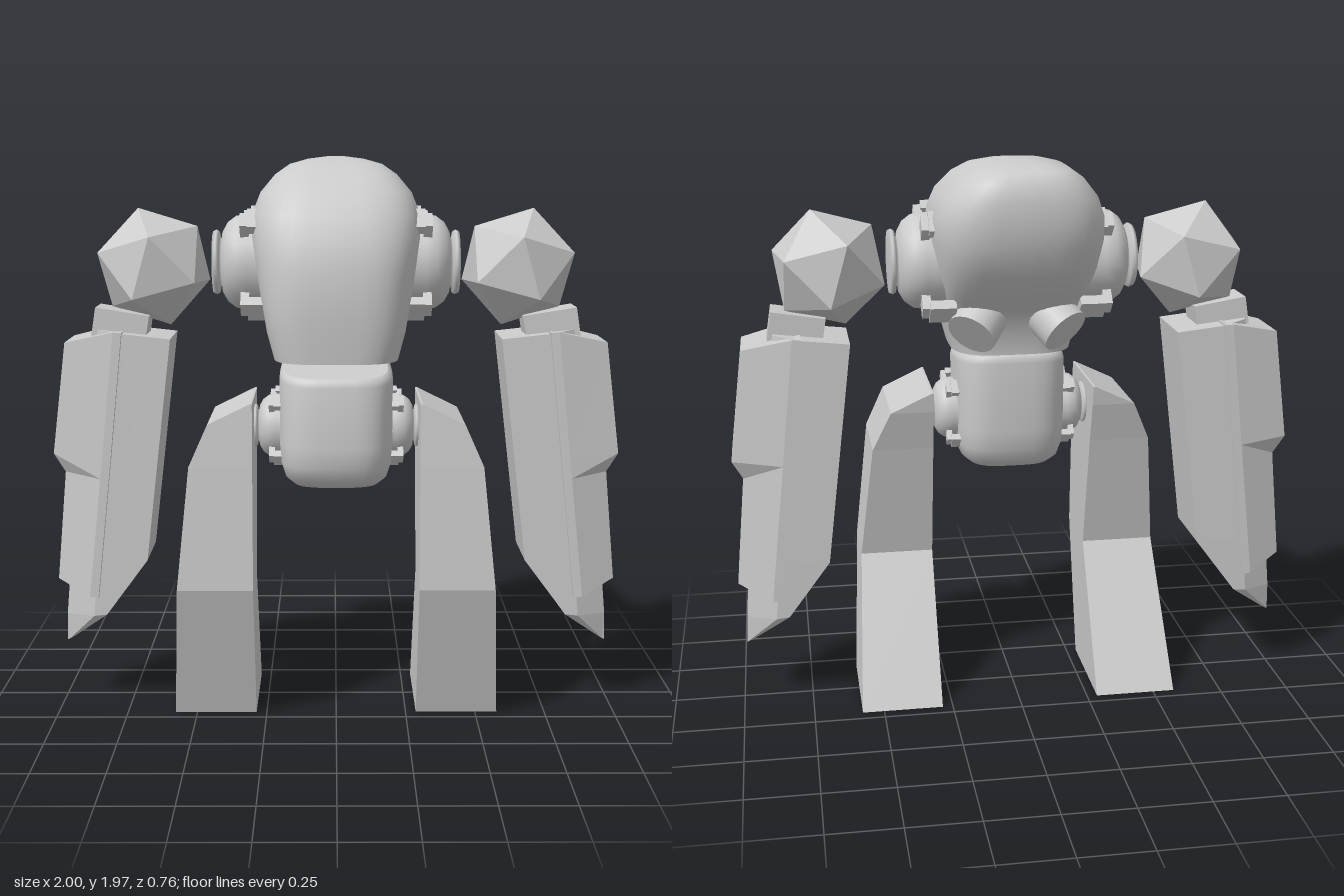
import * as THREE from 'three';
import { mergeGeometries } from 'three/addons/utils/BufferGeometryUtils.js';

// Skin rings of [x, y, z] points, ordered bottom to top, with a cap at each end.
function loft(rings, smooth) {
  const n = rings[0].length, pos = rings.flat(2), idx = [];
  for (let i = 0; i < rings.length - 1; i++) {
    for (let j = 0; j < n; j++) {
      const a = i * n + j, b = i * n + (j + 1) % n;
      idx.push(a, a + n, b, b, a + n, b + n);
    }
  }
  for (const top of [false, true]) {
    const ring = top ? rings[rings.length - 1] : rings[0];
    const base = pos.length / 3;
    pos.push(...ring.flat());
    pos.push(...[0, 1, 2].map(k => ring.reduce((s, p) => s + p[k], 0) / n));
    for (let j = 0; j < n; j++) {
      const a = base + j, b = base + (j + 1) % n;
      idx.push(base + n, top ? b : a, top ? a : b);
    }
  }
  let g = new THREE.BufferGeometry();
  g.setAttribute('position', new THREE.Float32BufferAttribute(pos, 3));
  g.setIndex(idx);
  if (!smooth) g = g.toNonIndexed();
  g.computeVertexNormals();
  return g;
}

// Rounded-rectangle ring from front z, back z and half width.
function roundRing(y, zf, zb, hx, tilt = 0, n = 40) {
  const bulge = v => Math.sign(v) * Math.abs(v) ** 0.58;
  return Array.from({ length: n }, (_, j) => {
    const t = j / n * Math.PI * 2;
    const z = (zf + zb) / 2 + (zf - zb) / 2 * bulge(Math.sin(t));
    return [hx * bulge(Math.cos(t)), y - tilt * (z - zf), z];
  });
}

function mirrorX(geo) {
  const g = geo.index ? geo.toNonIndexed() : geo.clone();
  g.scale(-1, 1, 1);
  for (const a of Object.values(g.attributes)) {
    const s = a.itemSize;
    for (let i = 0; i < a.count; i += 3) {
      for (let k = 0; k < s; k++) {
        const p = i * s + k, q = (i + 2) * s + k;
        [a.array[p], a.array[q]] = [a.array[q], a.array[p]];
      }
    }
  }
  return g;
}

// Round socket along +x, with a collar.
function socket(scale, x, y, z) {
  const pts = [[0.165, -0.1], [0.168, 0.03], [0.162, 0.07], [0.14, 0.1], [0.108, 0.118], [0.085, 0.12],
    [0.085, 0.128], [0.108, 0.13], [0.114, 0.14], [0.108, 0.152], [0, 0.152]];
  return new THREE.LatheGeometry(pts.map(p => new THREE.Vector2(...p)), 28)
    .rotateZ(-Math.PI / 2).scale(scale, scale, scale).translate(x, y, z);
}

// Four clips set diagonally round a socket.
function clips(scale, x, y, z) {
  const parts = [];
  for (let i = 0; i < 4; i++) {
    const a = Math.PI / 4 + i * Math.PI / 2;
    parts.push(new THREE.BoxGeometry(0.09, 0.035, 0.085).translate(-0.02, 0.212, 0).rotateX(a));
    parts.push(new THREE.BoxGeometry(0.03, 0.07, 0.06).translate(0.035, 0.185, 0).rotateX(a));
  }
  return mergeGeometries(parts).scale(scale, scale, scale).translate(x, y, z);
}

export function createModel() {
  const model = new THREE.Group();
  const smooth = new THREE.MeshStandardMaterial({ color: 0xcccccc });
  const flat = new THREE.MeshStandardMaterial({ color: 0xcccccc, flatShading: true });
  const add = (name, geo, mat) => {
    const m = new THREE.Mesh(geo, mat);
    m.name = name;
    model.add(m);
  };
  const pair = (name, geo, mat) => {
    add(name + 'Left', geo, mat);
    add(name + 'Right', mirrorX(geo), mat);
  };

  // Torso: height, front z, back z, half width
  add('torso', loft([
    [1.285, 0.36, -0.1, 0.215], [1.38, 0.37, -0.11, 0.24], [1.45, 0.375, -0.16, 0.252],
    [1.5, 0.376, -0.22, 0.262], [1.6, 0.375, -0.32, 0.28], [1.7, 0.352, -0.364, 0.295],
    [1.78, 0.315, -0.376, 0.292], [1.85, 0.27, -0.378, 0.265], [1.91, 0.19, -0.365, 0.215],
    [1.945, 0.1, -0.335, 0.165], [1.963, 0.01, -0.27, 0.1], [1.972, -0.07, -0.16, 0.03],
  ].map(r => roundRing(...r)), true), smooth);

  // Pelvis, with a top that rises towards the back
  add('pelvis', loft([
    [0.845, 0.28, 0, 0.11], [0.855, 0.32, -0.03, 0.15], [0.88, 0.35, -0.06, 0.178],
    [0.93, 0.377, -0.085, 0.193], [1.0, 0.382, -0.095, 0.197], [1.12, 0.376, -0.1, 0.197, 0.05],
    [1.205, 0.368, -0.1, 0.197, 0.1], [1.225, 0.363, -0.097, 0.192, 0.1], [1.235, 0.35, -0.09, 0.18, 0.1],
  ].map(r => roundRing(...r)), true), smooth);

  // Joints
  pair('shoulderSocket', socket(1, 0.28, 1.605, 0.02), smooth);
  pair('shoulderClips', clips(1, 0.28, 1.605, 0.02), flat);
  pair('hipSocket', socket(0.66, 0.19, 1.04, 0.13), smooth);
  pair('hipClips', clips(0.66, 0.2, 1.04, 0.13), flat);

  // Splayed thrusters below the back
  const axis = new THREE.Vector3(0.5, -0.55, -0.6).normalize();
  const turn = new THREE.Quaternion().setFromUnitVectors(new THREE.Vector3(0, 1, 0), axis);
  pair('thruster', new THREE.CylinderGeometry(0.088, 0.088, 0.24, 24).translate(0, -0.12, 0)
    .applyQuaternion(turn).translate(0.165, 1.375, -0.15), smooth);

  // Faceted shoulder balls
  const spin = new THREE.Matrix4().makeRotationAxis(new THREE.Vector3(0, 0.526, 0.851).normalize(), 0.33);
  pair('shoulderBall', new THREE.IcosahedronGeometry(0.212, 0).applyMatrix4(spin)
    .translate(0.64, 1.59, 0.025), flat);

  // Arm: stub, forearm blade and outer shell
  const zc = 0.02;
  pair('armStub', new THREE.BoxGeometry(0.19, 0.17, 0.14).rotateZ(0.16).translate(0.763, 1.353, 0.03), flat);

  // Inner, middle and outer [x, y], then half depths of the wide and narrow parts
  const armRing = ([i, m, o, wide, narrow]) => [
    [...o, zc - narrow], [...o, zc + narrow], [...m, zc + wide],
    [...i, zc + wide], [...i, zc - wide], [...m, zc - wide],
  ];
  pair('forearm', loft([
    [[0.965, 0.243], [0.972, 0.24], [0.98, 0.236], 0.068, 0.066],
    [[0.824, 0.35], [0.87, 0.345], [0.975, 0.34], 0.13, 0.076],
    [[0.674, 0.552], [0.85, 0.55], [0.955, 0.55], 0.132, 0.078],
    [[0.578, 1.346], [0.75, 1.365], [0.84, 1.375], 0.132, 0.078],
  ].map(armRing), false), flat);

  pair('forearmShell', loft([
    [[0.85, 0.418], [0.88, 0.422], [1.0, 0.475], 0.15, 0.09],
    [[0.802, 0.85], [0.832, 0.853], [0.963, 0.868], 0.15, 0.088],
    [[0.794, 0.92], [0.824, 0.923], [1.0, 0.937], 0.15, 0.108],
    [[0.745, 1.37], [0.775, 1.372], [0.95, 1.332], 0.15, 0.106],
  ].map(armRing), false), flat);

  // Legs: height, outer x, front z, back z
  pair('leg', loft([
    [0, 0.578, 0.2, -0.205], [0.5, 0.55, 0.358, 0.09], [0.93, 0.505, 0.335, -0.01],
    [1.075, 0.44, 0.325, -0.05], [1.145, 0.295, 0.32, -0.06],
  ].map(([y, x, f, b]) => [[x, y, b], [x, y, f], [0.287, y, f], [0.287, y, b]]), false), flat);

  return model;
}
